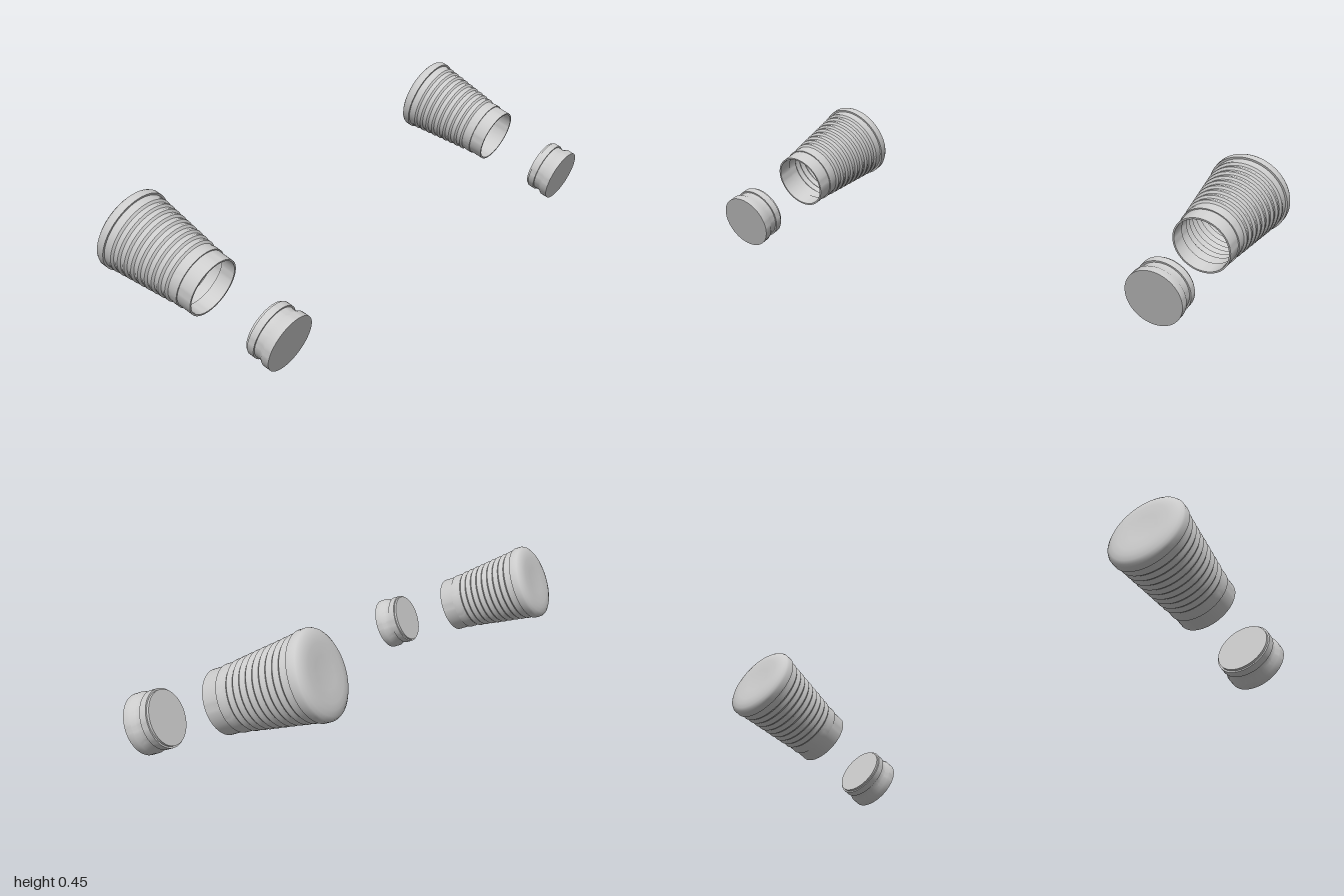
import * as THREE from 'three';
import { toCreasedNormals } from 'three/addons/utils/BufferGeometryUtils.js';

const grey = new THREE.MeshStandardMaterial({ color: 0xcccccc });
grey.name = 'light grey';

// Turned part from [radius, position along axis] pairs
function turned(name, profile) {
  const points = profile.map(([r, t]) => new THREE.Vector2(r, t));
  const geometry = toCreasedNormals(new THREE.LatheGeometry(points, 64), 0.6);
  const mesh = new THREE.Mesh(geometry, grey);
  mesh.name = name;
  return mesh;
}

// Tapered wall with nine ridges, ending in a plain neck
function wallProfile() {
  const wall = [[0.133, -0.368], [0.132, -0.354]];
  for (let i = 0; i < 9; i++) {
    const t = -0.344 + i * 0.0255;
    const r = 0.134 - i * 0.003;
    wall.push([r, t - 0.004], [r, t + 0.003], [r - 0.0065, t + 0.010], [r - 0.0065, t + 0.015]);
  }
  wall.push([0.1055, -0.113], [0.1055, -0.094], [0.1015, -0.094], [0.1015, -0.042]);
  return wall;
}

function createCup() {
  const cup = new THREE.Group();
  cup.name = 'cup';

  // Rounded closed base with a rim
  cup.add(turned('base', [
    [0, -0.406], [0.05, -0.409], [0.09, -0.411], [0.11, -0.409], [0.126, -0.404],
    [0.136, -0.397], [0.14, -0.389], [0.14, -0.368], [0.133, -0.368],
  ]));

  // Ribbed outer wall, open lip and ribbed inside
  const outer = wallProfile();
  const inner = outer.map(([r, t]) => [r - 0.006, t]).reverse();
  cup.add(turned('ribbedWall', [...outer, ...inner, [0.12, -0.392], [0, -0.396]]));
  return cup;
}

// Solid stopper with a groove
function createStopper() {
  return turned('stopper', [
    [0, 0.172], [0.089, 0.172], [0.089, 0.18], [0.0945, 0.18], [0.0945, 0.204],
    [0.089, 0.204], [0.089, 0.225], [0.098, 0.239], [0.098, 0.265], [0, 0.265],
  ]);
}

export function createModel() {
  const model = new THREE.Group();
  model.name = 'cupsWithStoppers';
  // Matching tilted pair on both sides
  for (const side of [1, -1]) {
    const unit = new THREE.Group();
    unit.name = side > 0 ? 'frontUnit' : 'backUnit';
    unit.add(createCup(), createStopper());
    unit.rotation.z = THREE.MathUtils.degToRad(-110);
    unit.position.set(0.067, 0.185, side * 0.86);
    model.add(unit);
  }
  return model;
}
